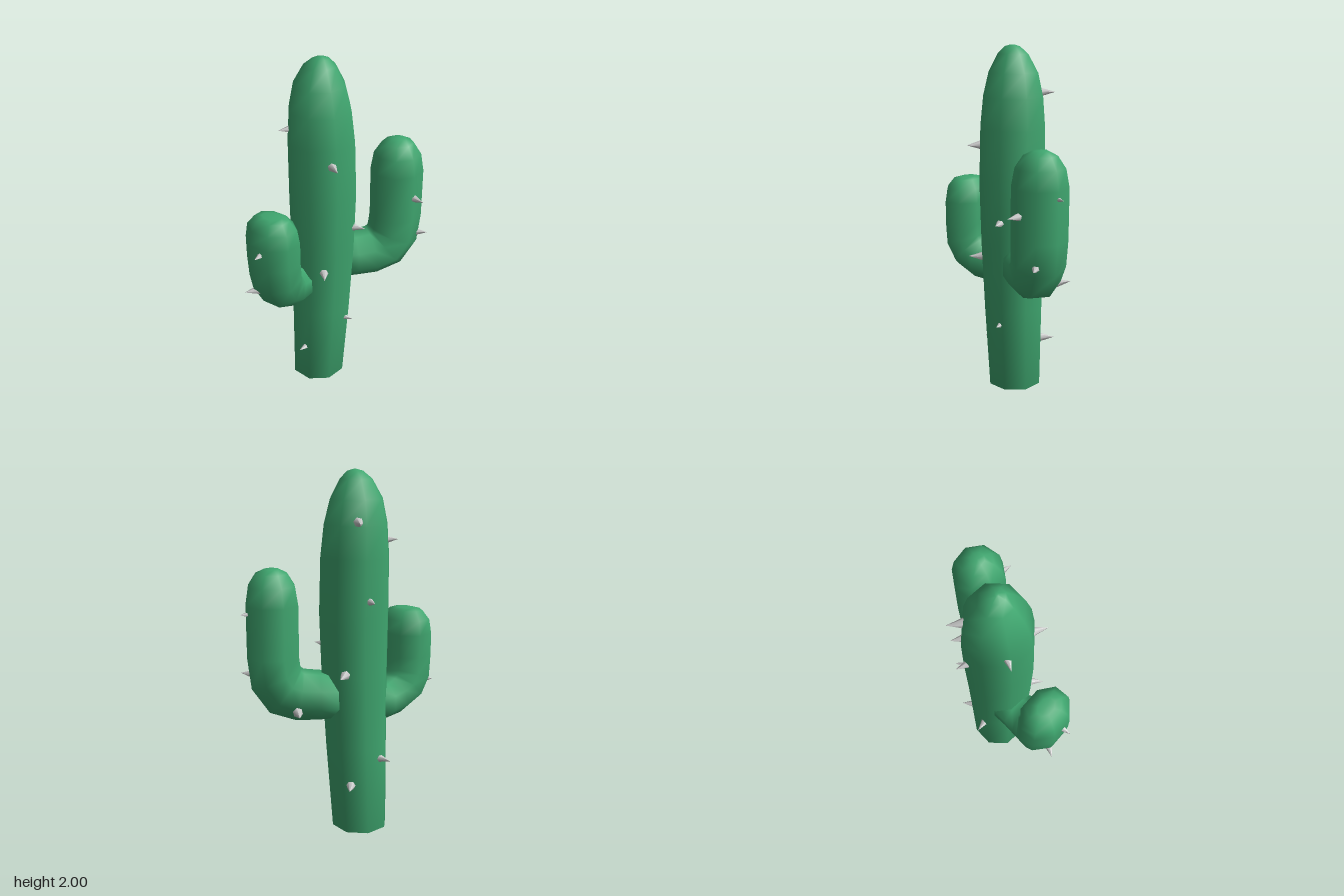
import * as THREE from 'three';

const SIDES = 8;
const green = new THREE.MeshStandardMaterial({ color: 0x3fa66f });
const grey = new THREE.MeshStandardMaterial({ color: 0xcccccc });

// Limb lofted along a path in a vertical plane that starts at (x, z) and heads along dir.
// Each section: [distance, height, elevation in degrees, side radius, in-plane radius]
function limb(name, [x, z], dir, turn, sections) {
  const h = new THREE.Vector3(dir[0], 0, dir[1]).normalize();
  const up = new THREE.Vector3(0, 1, 0);
  const pos = [], index = [];
  const centre = ([d, y]) => new THREE.Vector3(x, y, z).addScaledVector(h, d);
  for (const s of sections) {
    const e = THREE.MathUtils.degToRad(s[2]);
    const t = h.clone().multiplyScalar(Math.cos(e)).addScaledVector(up, Math.sin(e));
    const n = h.clone().multiplyScalar(Math.sin(e)).addScaledVector(up, -Math.cos(e));
    const side = t.clone().cross(n);
    for (let j = 0; j < SIDES; j++) {
      const a = THREE.MathUtils.degToRad(turn) + (j / SIDES) * Math.PI * 2;
      pos.push(...centre(s)
        .addScaledVector(n, Math.cos(a) * s[4])
        .addScaledVector(side, Math.sin(a) * s[3]));
    }
  }
  const rows = sections.length, first = rows * SIDES, last = first + 1;
  pos.push(...centre(sections[0]), ...centre(sections[rows - 1]));
  for (let j = 0; j < SIDES; j++) {
    const k = (j + 1) % SIDES, top = (rows - 1) * SIDES;
    for (let i = 0; i < rows - 1; i++) {
      const a = i * SIDES + j, b = i * SIDES + k;
      index.push(a, b, b + SIDES, a, b + SIDES, a + SIDES);
    }
    index.push(k, j, first, top + j, top + k, last);
  }
  const g = new THREE.BufferGeometry();
  g.setAttribute('position', new THREE.Float32BufferAttribute(pos, 3));
  g.setIndex(index);
  g.computeVertexNormals();
  const mesh = new THREE.Mesh(g, green);
  mesh.name = name;
  return mesh;
}

// Level spikes given by their tips, each pointing away from the limb's axis
function spikes(name, [ax, az], tips) {
  const group = new THREE.Group();
  group.name = name;
  for (const [x, y, z] of tips) {
    const out = new THREE.Vector3(x - ax, 0, z - az).normalize();
    const spike = new THREE.Mesh(new THREE.ConeGeometry(0.028, 0.09, 6), grey);
    spike.name = 'spike';
    spike.position.set(x, y, z).addScaledVector(out, -0.045);
    spike.quaternion.setFromUnitVectors(new THREE.Vector3(0, 1, 0), out);
    group.add(spike);
  }
  return group;
}

export function createModel() {
  const cactus = new THREE.Group();
  cactus.name = 'cactus';

  // Trunk: narrow foot, widest past the middle, rounded top
  const trunk = [
    [0, 0, 0.16], [0.025, 0.5, 0.178], [0.04, 0.9, 0.19], [0.045, 1.25, 0.198],
    [0.041, 1.55, 0.193], [0.037, 1.72, 0.177], [0.034, 1.85, 0.146],
    [0.038, 1.95, 0.09], [0.045, 1.99, 0.045], [0.045, 2, 0.01],
  ].map(([d, y, r]) => [d, y, 90, r, r]);
  cactus.add(limb('trunk', [-0.17, -0.015], [1, 0], 8, trunk));

  // Tall arm at the back, on the model's left
  cactus.add(limb('tallArm', [-0.045, -0.14], [0.225, -0.205], 22.5, [
    [-0.08, 0.785, 0, 0.13, 0.13], [0.05, 0.785, 0, 0.135, 0.138],
    [0.16, 0.79, 10, 0.138, 0.145], [0.24, 0.82, 38, 0.142, 0.155],
    [0.29, 0.9, 68, 0.148, 0.155], [0.304, 1.02, 90, 0.152, 0.15],
    [0.304, 1.3, 90, 0.152, 0.15], [0.304, 1.4, 90, 0.133, 0.133],
    [0.304, 1.465, 90, 0.09, 0.09], [0.304, 1.49, 90, 0.04, 0.04],
  ]));

  // Short arm at the front, a little wider than deep
  cactus.add(limb('shortArm', [-0.2, 0.1], [-0.035, 0.245], 22.5, [
    [-0.06, 0.71, 0, 0.11, 0.108], [0.05, 0.71, 0, 0.115, 0.108],
    [0.13, 0.725, 15, 0.13, 0.12], [0.2, 0.765, 45, 0.15, 0.13],
    [0.24, 0.84, 72, 0.16, 0.132], [0.248, 0.95, 90, 0.16, 0.13],
    [0.248, 1.08, 90, 0.16, 0.13], [0.248, 1.16, 90, 0.147, 0.115],
    [0.248, 1.21, 90, 0.105, 0.075], [0.248, 1.22, 90, 0.06, 0.04],
  ]));

  cactus.add(spikes('trunkSpikes', [-0.13, -0.015], [
    [-0.38, 0.43, -0.025], [-0.345, 1.33, -0.14], [-0.29, 1.74, -0.2],
    [-0.255, 0.29, -0.235], [-0.215, 0.93, -0.265], [0.125, 1.04, -0.05],
    [0.065, 0.42, -0.02], [-0.285, 1.63, 0.165], [0.065, 1.46, 0.165],
    [0, 0.8, 0.2], [-0.18, 0.245, 0.195],
  ]));
  cactus.add(spikes('tallArmSpikes', [0.175, -0.345], [
    [0.38, 1.165, -0.265], [0.365, 0.9, -0.405], [0.255, 1.26, -0.515],
  ]));
  cactus.add(spikes('tallArmElbowSpike', [0.09, -0.27], [[-0.065, 0.73, -0.42]]));
  cactus.add(spikes('shortArmSpikes', [-0.235, 0.345], [
    [-0.245, 1.04, 0.515], [-0.35, 0.78, 0.475],
  ]));
  return cactus;
}
